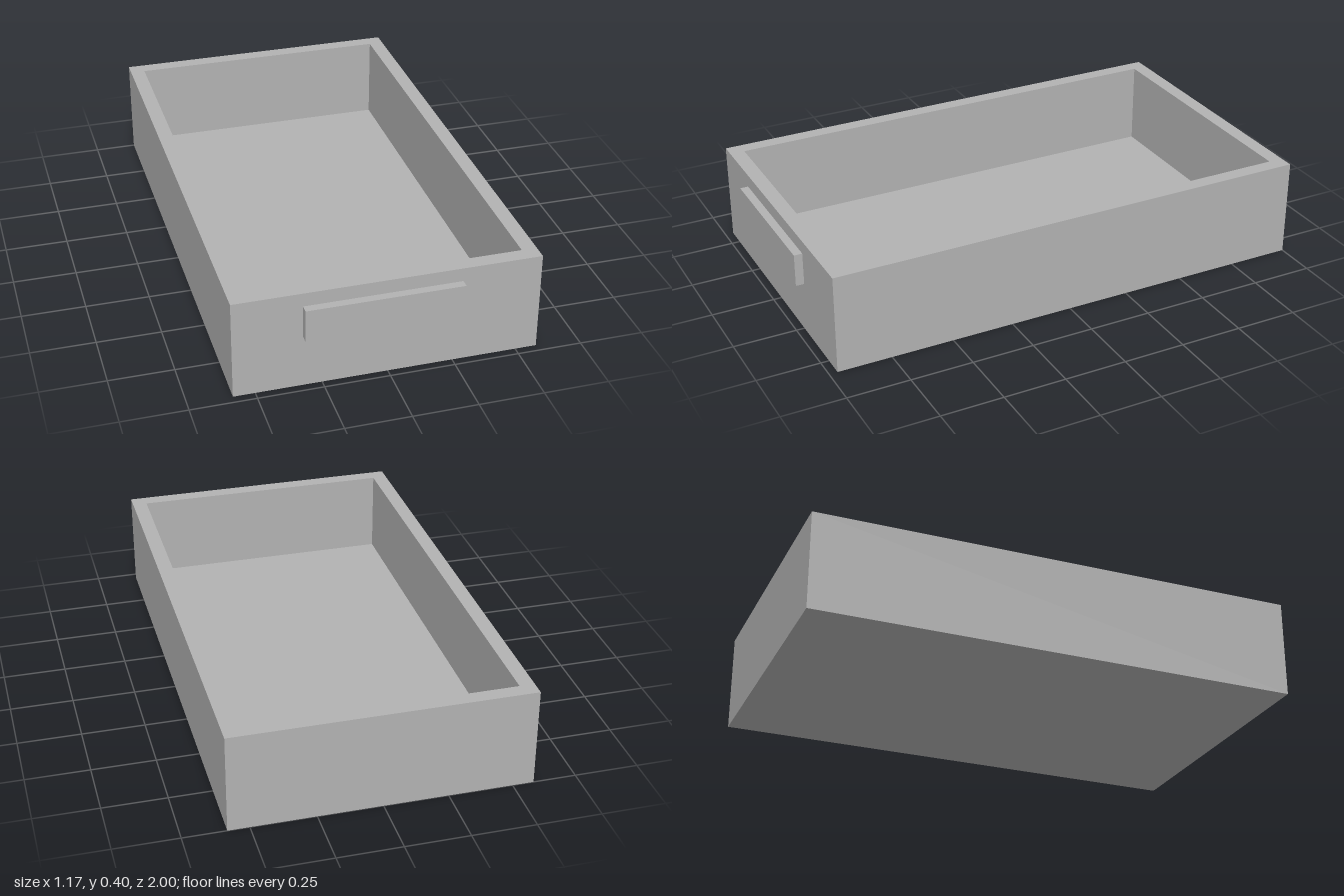
import * as THREE from 'three';

const HALF_W = 0.583, HEIGHT = 0.395, BACK = -1, FRONT = 0.967;
const WALL = 0.059, FLOOR = 0.056;

// Corner points of a rectangle drawn in x and -z, so it can be extruded upwards
function rectangle(inset) {
  const x = HALF_W - inset, near = -FRONT + inset, far = -BACK - inset;
  return [[-x, near], [x, near], [x, far], [-x, far]].map(([a, b]) => new THREE.Vector2(a, b));
}

export function createModel() {
  const group = new THREE.Group();
  const grey = new THREE.MeshStandardMaterial({ color: 0xb2b2b2 });
  grey.name = 'grey';

  const add = (name, geometry) => {
    const mesh = new THREE.Mesh(geometry, grey);
    mesh.name = name;
    group.add(mesh);
    return mesh;
  };

  // Four walls as one open frame
  const outline = new THREE.Shape(rectangle(0));
  outline.holes.push(new THREE.Path(rectangle(WALL).reverse()));
  const walls = new THREE.ExtrudeGeometry(outline, { depth: HEIGHT, bevelEnabled: false });
  add('walls', walls.rotateX(-Math.PI / 2));

  // Floor panel filling the frame, flush with the underside
  const panel = new THREE.ExtrudeGeometry(new THREE.Shape(rectangle(WALL)), { depth: FLOOR, bevelEnabled: false });
  add('floor', panel.rotateX(-Math.PI / 2));

  // Flat pull on the front wall, slightly off centre
  const handle = add('handle', new THREE.BoxGeometry(0.6, 0.13, 1 - FRONT));
  handle.position.set(-0.021, 0.276, (1 + FRONT) / 2);

  return group;
}
